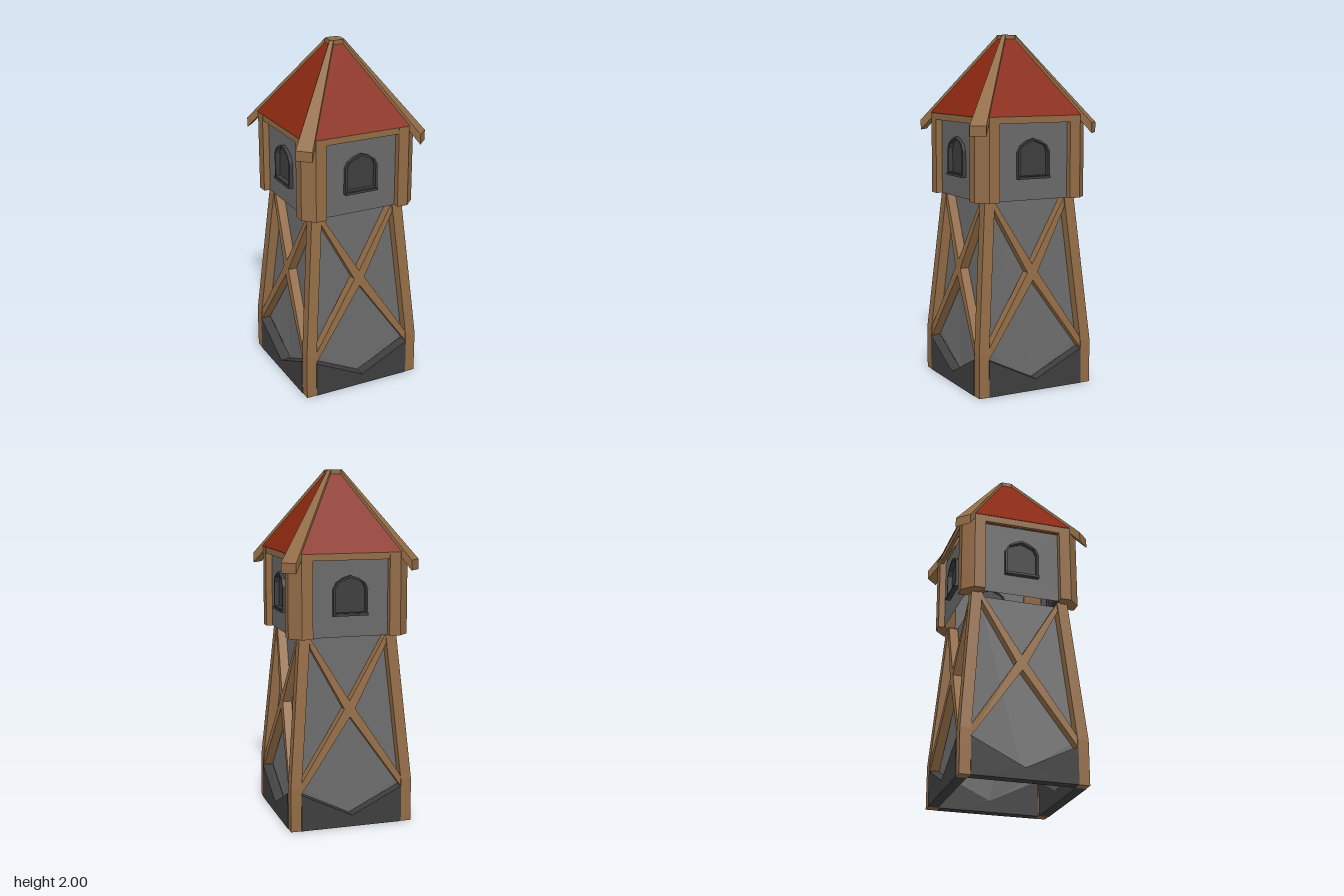
import * as THREE from 'three';

const mat = (name, color) => {
  const m = new THREE.MeshStandardMaterial({ color, side: THREE.DoubleSide });
  m.name = name;
  return m;
};

// Flat-faced mesh with a name
function part(name, geometry, material) {
  const g = geometry.index ? geometry.toNonIndexed() : geometry;
  g.computeVertexNormals();
  const mesh = new THREE.Mesh(g, material);
  mesh.name = name;
  return mesh;
}

// Move every vertex by a rule
function warp(geometry, rule) {
  const p = geometry.attributes.position;
  for (let i = 0; i < p.count; i++) p.setXYZ(i, ...rule(p.getX(i), p.getY(i), p.getZ(i)));
  return geometry;
}

const shapeOf = (pts) => new THREE.Shape(pts.map(([x, y]) => new THREE.Vector2(x, y)));
const extrude = (shape, depth) => new THREE.ExtrudeGeometry(shape, { depth, bevelEnabled: false });
const mirrorX = (pts) => [...pts, ...pts.filter(([x]) => x > 0).reverse().map(([x, y]) => [-x, y])];

// Outer face of the leaning shaft at a given height
const lean = (y) => 0.357 - 0.087 * Math.max(0, y - 0.25);

// Arched window outline, shrunk by an inset
const arch = (i) => mirrorX([
  [0.1 - i, 1.21 + i], [0.1 - i, 1.355], [0.082 - i, 1.39], [0.045 - i / 2, 1.415 - i], [0, 1.43 - i],
]);

export function createModel() {
  const wood = mat('wood', 0x936c46);
  const stone = mat('grey stone', 0x6a6a6a);
  const darkStone = mat('dark stone', 0x3e3e3e);
  const roofRed = mat('red roof', 0x8a2810);

  const side = new THREE.Group();

  // Plinth with a V notch in the top
  const plinth = part('plinth', extrude(shapeOf(
    [[-0.296, 0], [0.296, 0], [0.296, 0.21], [0, 0.065], [-0.296, 0.21]]), 0.06), darkStone);
  plinth.position.z = 0.3;
  side.add(plinth);

  // Leaning shaft wall, set back behind the posts
  side.add(part('shaftWall', warp(new THREE.ShapeGeometry(shapeOf(
    [[0, 0.065], [0.297, 0.21], [0.297, 0.25], [0.224, 1.09], [-0.224, 1.09], [-0.297, 0.25], [-0.297, 0.21]])),
  (x, y) => [x, y, lean(y) - 0.058]), stone));

  // Crossed braces
  side.add(part('crossBrace', warp(extrude(shapeOf([
    [-0.296, 0.21], [0, 0.63], [0.296, 0.21], [0.296, 0.27], [0.032, 0.675], [0.223, 1.03],
    [0.223, 1.085], [0, 0.72], [-0.223, 1.085], [-0.223, 1.03], [-0.032, 0.675], [-0.296, 0.27],
  ]), 0.052), (x, y, z) => [x, y, lean(y) - 0.056 + z]), wood));

  // Cabin wall with a window opening
  const wallShape = shapeOf([[-0.25, 1.085], [0.25, 1.085], [0.25, 1.52], [-0.25, 1.52]]);
  wallShape.holes.push(new THREE.Path(arch(0.004).map(([x, y]) => new THREE.Vector2(x, y))));
  const wall = part('cabinWall', new THREE.ShapeGeometry(wallShape), stone);
  wall.position.z = 0.31;
  side.add(wall);

  // Window frame, pane and sill
  const frameShape = shapeOf(arch(0));
  frameShape.holes.push(new THREE.Path(arch(0.012).map(([x, y]) => new THREE.Vector2(x, y))));
  const frame = part('windowFrame', extrude(frameShape, 0.035), darkStone);
  frame.position.z = 0.295;
  const pane = part('windowPane', new THREE.ShapeGeometry(shapeOf(arch(0.006))), darkStone);
  pane.position.z = 0.303;
  const sill = part('windowSill', new THREE.BoxGeometry(0.2, 0.014, 0.045), darkStone);
  sill.position.set(0, 1.212, 0.315);
  side.add(frame, pane, sill);

  // Header beam under the eaves
  const header = part('headerBeam', new THREE.BoxGeometry(0.57, 0.04, 0.02), wood);
  header.position.set(0, 1.535, 0.335);
  side.add(header);

  // Roof panel
  side.add(part('roofPanel', warp(new THREE.PlaneGeometry(1, 1), (x, y) => (y < 0
    ? [Math.sign(x) * 0.302, 1.553, 0.35]
    : [Math.sign(x) * 0.036, 1.98, 0.042])), roofRed));

  // Shaft corner post: upright foot, then leaning inwards
  const w = 0.062;
  side.add(part('shaftPost', warp(new THREE.BoxGeometry(w, 2, w, 1, 2, 1), (x, y, z) => {
    const h = y < -0.5 ? 0 : y < 0.5 ? 0.25 : 1.09;
    const c = lean(h) - w / 2;
    return [x + c, h, z + c];
  }), wood));

  // Chamfered cabin corner post
  const cabinPost = part('cabinPost', extrude(shapeOf(
    [[0.222, -0.347], [0.286, -0.347], [0.347, -0.286], [0.347, -0.222], [0.305, -0.222], [0.222, -0.305]]), 0.465)
    .rotateX(-Math.PI / 2), wood);
  cabinPost.position.y = 1.085;
  side.add(cabinPost);

  // Hip beam, tapering towards the peak
  side.add(part('hipBeam', warp(new THREE.BoxGeometry(1, 1, 1), (x, y, z) => {
    const top = z > 0 ? 1.51 : 1.998;
    return [Math.sign(x) * (z > 0 ? 0.0475 : 0.011), y > 0 ? top : top - 0.057, z > 0 ? 0.514 : 0.053];
  }).rotateY(Math.PI / 4), wood));

  // Repeat the side around the tower
  const tower = new THREE.Group();
  tower.name = 'watchtower';
  ['front', 'left', 'back', 'right'].forEach((name, i) => {
    const copy = side.clone();
    copy.name = name + 'Side';
    copy.rotation.y = i * Math.PI / 2;
    tower.add(copy);
  });

  // Cap on the peak
  const a = 0.045, b = 0.029;
  const cap = part('roofCap', extrude(shapeOf(
    [[a, -b], [a, b], [b, a], [-b, a], [-a, b], [-a, -b], [-b, -a], [b, -a]]), 0.03).rotateX(-Math.PI / 2), wood);
  cap.position.y = 1.97;
  tower.add(cap);
  return tower;
}
